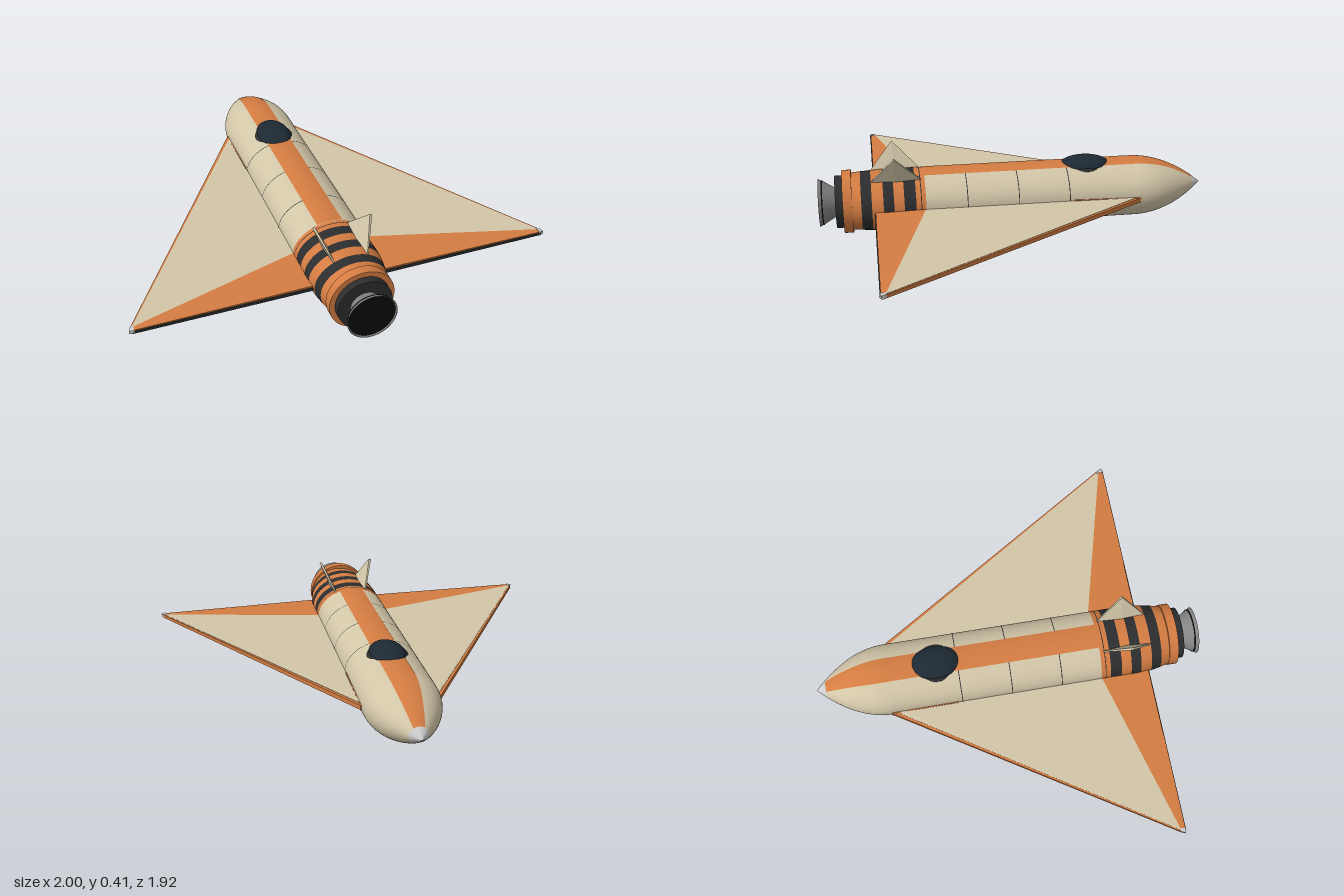
import * as THREE from 'three';
import { ConvexGeometry } from 'three/addons/geometries/ConvexGeometry.js';

const CY = 0.154; // height of the fuselage axis
const COLORS = {
  hull: 0xd2c6a8, orange: 0xd47c42, dark: 0x2b2d2e, glass: 0x1d2933,
  metal: 0x858585, black: 0x0c0c0c, white: 0xececec,
};
const mats = {};
for (const k in COLORS) mats[k] = new THREE.MeshStandardMaterial({ color: COLORS[k] });

// half width and half height of the fuselage at z
function radii(z) {
  if (z < -0.6) {
    const t = Math.max(0, (z + 0.96) / 0.36);
    const r = 1 - (1 - t) ** 2;
    return [0.18 * r, 0.144 * r];
  }
  const t = THREE.MathUtils.clamp((z - 0.62) / 0.18, 0, 1) ** 1.6;
  return [0.18 - 0.03 * t, 0.144 - 0.006 * t];
}

// elliptical skin from z0 to z1; width limits it to a strip along the top
function skin(z0, z1, { offset = 0, steps = 6, width } = {}) {
  const pos = [], index = [], n = width ? 10 : 56;
  for (let i = 0; i <= steps; i++) {
    const z = z0 + ((z1 - z0) * i) / steps;
    const [rx, ry] = radii(z).map((r) => r + offset);
    const half = width ? Math.asin(Math.min(1, width(z) / rx)) : Math.PI;
    for (let j = 0; j <= n; j++) {
      const a = half * ((2 * j) / n - 1);
      pos.push(rx * Math.sin(a), CY + ry * Math.cos(a), z);
    }
  }
  for (let i = 0; i < steps; i++) for (let j = 0; j < n; j++) {
    const a = i * (n + 1) + j, b = a + n + 1;
    index.push(a, b, a + 1, a + 1, b, b + 1);
  }
  const g = new THREE.BufferGeometry();
  g.setAttribute('position', new THREE.Float32BufferAttribute(pos, 3));
  g.setIndex(index);
  g.computeVertexNormals();
  return g;
}

// flat-faced panel from plan corners [x, z, yTop, yBottom]
function panel(corners, side) {
  const pts = [];
  for (const [x, z, top, bottom] of corners) {
    pts.push(new THREE.Vector3(side * x, top, z), new THREE.Vector3(side * x, bottom, z));
  }
  return new ConvexGeometry(pts);
}

export function createModel() {
  const model = new THREE.Group();
  const add = (name, geometry, mat, parent = model) => {
    const mesh = new THREE.Mesh(geometry, mats[mat]);
    mesh.name = name;
    parent.add(mesh);
    return mesh;
  };

  // fuselage, nose first
  add('noseTip', skin(-0.96, -0.91), 'white');
  add('nose', skin(-0.91, -0.6, { steps: 20 }), 'hull');
  add('fuselage', skin(-0.6, 0.45), 'hull');
  const bands = [0.45, 0.497, 0.553, 0.602, 0.652, 0.707, 0.757, 0.805];
  for (let i = 0; i < bands.length - 1; i++) {
    add('tailBand', skin(bands[i], bands[i + 1]), i % 2 ? 'dark' : 'orange');
  }
  for (const z of [-0.25, 0, 0.25, 0.472]) {
    add('panelLine', skin(z - 0.002, z + 0.002, { offset: 0.0015, steps: 1 }), 'dark');
  }
  const stripeWidth = (z) => 0.062 - 0.036 * THREE.MathUtils.clamp((-0.62 - z) / 0.29, 0, 1) ** 1.7;
  add('dorsalStripe', skin(-0.91, 0.45, { offset: 0.002, steps: 60, width: stripeWidth }), 'orange');

  // canopy and its frame
  const ball = new THREE.SphereGeometry(1, 40, 24);
  const canopy = add('canopy', ball, 'glass');
  canopy.scale.set(0.085, 0.045, 0.125);
  canopy.position.set(0, 0.281, -0.355);
  const frame = add('canopyFrame', ball, 'dark');
  frame.scale.set(0.098, 0.03, 0.112);
  frame.position.set(0, 0.272, -0.355);

  // engine: rings and flared nozzle, turned about the z axis
  const engine = new THREE.Group();
  engine.name = 'engine';
  engine.position.y = CY;
  engine.rotation.x = Math.PI / 2;
  model.add(engine);
  const ring = (name, r, z0, z1, mat) => {
    add(name, new THREE.CylinderGeometry(r, r, z1 - z0, 48), mat, engine).position.y = (z0 + z1) / 2;
  };
  ring('thrustRing', 0.154, 0.8, 0.845, 'orange');
  ring('engineCollar', 0.128, 0.845, 0.88, 'dark');
  const nozzleProfile = [[0.068, 0.875], [0.082, 0.9], [0.1, 0.93], [0.117, 0.96], [0.112, 0.96], [0.108, 0.95]];
  add('nozzle', new THREE.LatheGeometry(nozzleProfile.map((p) => new THREE.Vector2(...p)), 48), 'metal', engine);
  ring('nozzleMouth', 0.109, 0.94, 0.955, 'black');

  for (const side of [1, -1]) {
    const label = side > 0 ? 'left' : 'right';

    // delta wing
    const wing = new THREE.Group();
    wing.name = label + 'Wing';
    model.add(wing);
    add('wingPanel', panel([
      [0.15, -0.6, 0.16, 0.133], [0.18, -0.58, 0.158, 0.133],
      [0.985, 0.672, 0.153, 0.135], [0.15, 0.445, 0.163, 0.133],
    ], side), 'hull', wing);
    add('elevon', panel([
      [0.15, 0.445, 0.163, 0.133], [0.985, 0.672, 0.153, 0.135],
      [0.985, 0.692, 0.152, 0.135], [0.15, 0.692, 0.158, 0.133],
    ], side), 'orange', wing);
    add('leadingEdge', panel([
      [0.165, -0.603, 0.156, 0.134], [0.183, -0.603, 0.156, 0.134],
      [0.99, 0.668, 0.152, 0.136], [0.978, 0.668, 0.152, 0.136],
    ], side), 'orange', wing);
    add('rootStrip', panel([
      [0.16, -0.605, 0.158, 0.132], [0.185, -0.605, 0.158, 0.132],
      [0.183, -0.27, 0.166, 0.132], [0.16, -0.27, 0.166, 0.132],
    ], side), 'orange', wing);
    add('trailingEdge', panel([
      [0.15, 0.69, 0.15, 0.132], [0.985, 0.69, 0.148, 0.135],
      [0.985, 0.696, 0.147, 0.136], [0.15, 0.696, 0.149, 0.133],
    ], side), 'dark', wing);
    add('wingTip', panel([
      [0.975, 0.66, 0.155, 0.134], [0.992, 0.672, 0.154, 0.135],
      [1, 0.69, 0.152, 0.136], [0.978, 0.697, 0.155, 0.134],
    ], side), 'white', wing);

    // canted tail fin with a diamond section: [x, y, z, half thickness]
    const finPoints = [];
    for (const [x, y, z, t] of [
      [0.079, 0.275, 0.46, 0.003], [0.079, 0.275, 0.59, 0.012],
      [0.079, 0.275, 0.71, 0.003], [0.137, 0.408, 0.595, 0.006],
    ]) {
      for (const k of [-t, t]) finPoints.push(new THREE.Vector3(side * (x + 0.9 * k), y - 0.4 * k, z));
    }
    add(label + 'TailFin', new ConvexGeometry(finPoints), 'hull');
  }
  return model;
}
